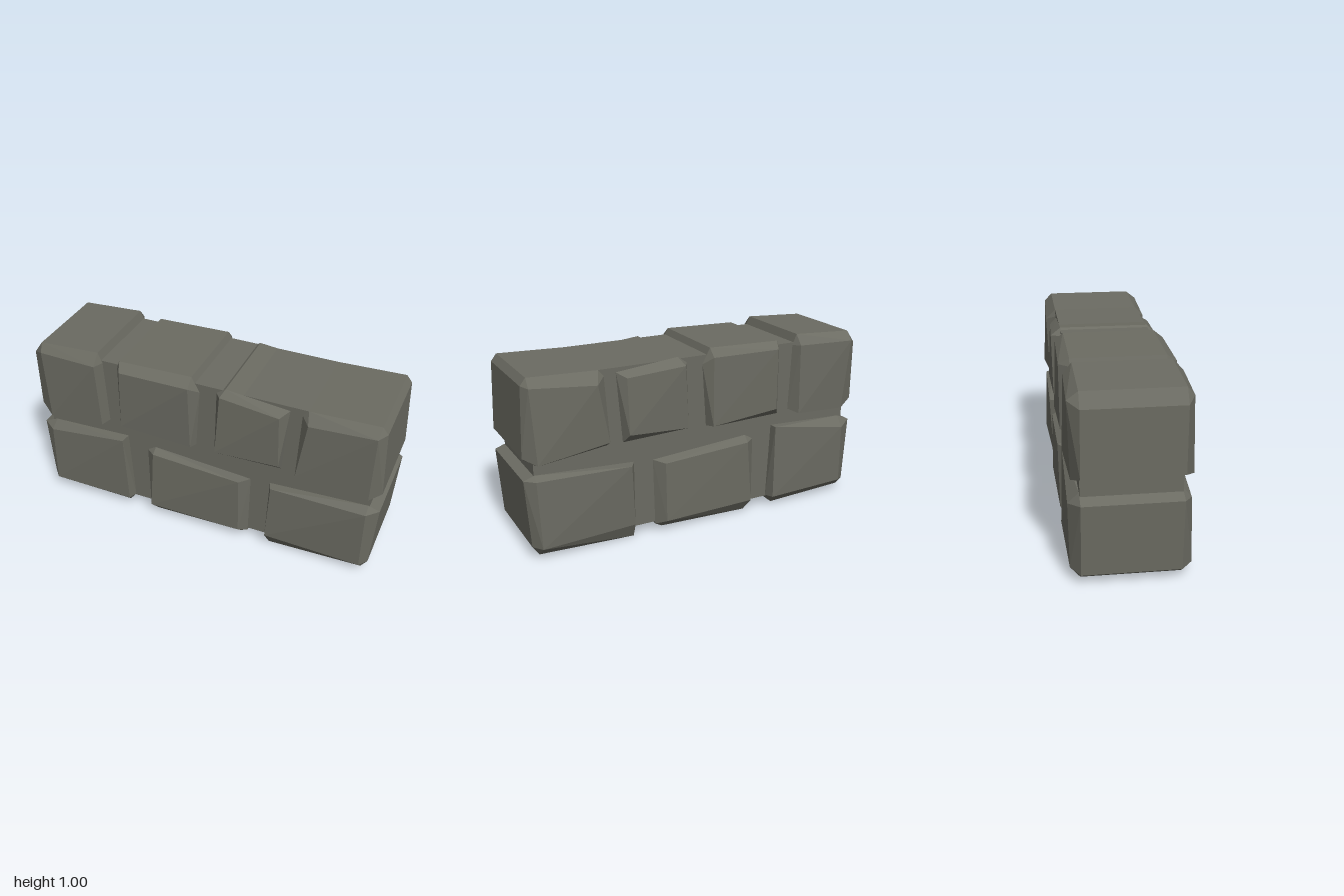
import * as THREE from 'three';
import { ConvexGeometry } from 'three/addons/geometries/ConvexGeometry.js';

// Each stone: face = inset front corners, outline = widest section, both [x, y]
const STONES = [
  { name: 'upperStone1',
    face: [[-0.94, 0.935], [-0.6, 0.94], [-0.59, 0.555], [-0.91, 0.535]],
    outline: [[-1, 0.91], [-0.95, 0.98], [-0.6, 1], [-0.575, 0.94], [-0.56, 0.57], [-0.9, 0.535], [-1, 0.57]] },
  { name: 'upperStone2',
    face: [[-0.45, 0.94], [-0.05, 0.945], [-0.05, 0.56], [-0.46, 0.59]],
    outline: [[-0.487, 0.94], [-0.47, 0.978], [-0.05, 0.99], [-0.005, 0.905], [-0.03, 0.56], [-0.49, 0.555]] },
  { name: 'upperStone3',
    face: [[0.12, 0.93], [0.45, 0.905], [0.455, 0.595], [0.1, 0.585]],
    outline: [[0.09, 0.93], [0.14, 0.965], [0.49, 0.93], [0.46, 0.55], [0.08, 0.565]] },
  { name: 'upperStone4',
    face: [[0.6, 0.9], [0.95, 0.925], [0.94, 0.53], [0.55, 0.565]],
    outline: [[0.555, 0.92], [0.585, 0.955], [0.955, 0.968], [0.985, 0.93], [1, 0.56], [0.945, 0.52], [0.55, 0.55]] },
  { name: 'lowerStone1',
    face: [[-0.93, 0.42], [-0.46, 0.485], [-0.45, 0.06], [-0.93, 0.07]],
    outline: [[-1, 0.435], [-0.92, 0.47], [-0.45, 0.49], [-0.43, 0.06], [-0.47, 0.01], [-0.94, 0.03], [-0.98, 0.06]] },
  { name: 'lowerStone2',
    face: [[-0.28, 0.435], [0.24, 0.42], [0.24, 0.07], [-0.3, 0.07]],
    outline: [[-0.33, 0.43], [-0.28, 0.46], [0.29, 0.42], [0.28, 0.04], [0.24, 0.02], [-0.28, 0.005], [-0.33, 0.07]] },
  { name: 'lowerStone3',
    face: [[0.42, 0.43], [0.94, 0.435], [0.935, 0.06], [0.4, 0.09]],
    outline: [[0.4, 0.43], [0.94, 0.46], [1, 0.44], [0.975, 0.07], [0.94, 0.02], [0.41, 0], [0.4, 0.05]] },
];

// Small seeded random, -1 to 1
function seeded(seed) {
  let s = seed;
  return () => {
    s = (s * 16807) % 2147483647;
    return (s / 2147483647) * 2 - 1;
  };
}

// Bevelled boulder running through the wall, as the hull of four sections
function stoneGeometry({ face, outline }, random) {
  const points = [];
  const cx = face.reduce((sum, p) => sum + p[0], 0) / 4;
  const cy = face.reduce((sum, p) => sum + p[1], 0) / 4;
  for (const [x, y] of outline) {
    points.push(new THREE.Vector3(x, y, 0.245), new THREE.Vector3(x, y, -0.245));
  }
  face.forEach(([x, y], i) => {
    points.push(new THREE.Vector3(x, y, i % 2 ? 0.3 : 0.29 + 0.008 * random()));
    // The rear face is a little smaller and more irregular
    points.push(new THREE.Vector3(
      cx + (x - cx) * 0.98 + 0.012 * random(),
      cy + (y - cy) * 0.98 + 0.012 * random(),
      i % 2 ? -0.29 + 0.008 * random() : -0.3));
  });
  return new ConvexGeometry(points);
}

export function createModel() {
  const wall = new THREE.Group();
  wall.name = 'stoneWall';
  const stone = new THREE.MeshStandardMaterial({ color: 0x6b6b62 });
  stone.name = 'greyStone';

  // Mortar core
  const core = new THREE.Mesh(new THREE.BoxGeometry(1.89, 0.9, 0.49), stone);
  core.name = 'mortarCore';
  core.position.y = 0.505;
  wall.add(core);

  // Two courses of stones
  const random = seeded(71);
  for (const data of STONES) {
    const mesh = new THREE.Mesh(stoneGeometry(data, random), stone);
    mesh.name = data.name;
    wall.add(mesh);
  }
  return wall;
}
